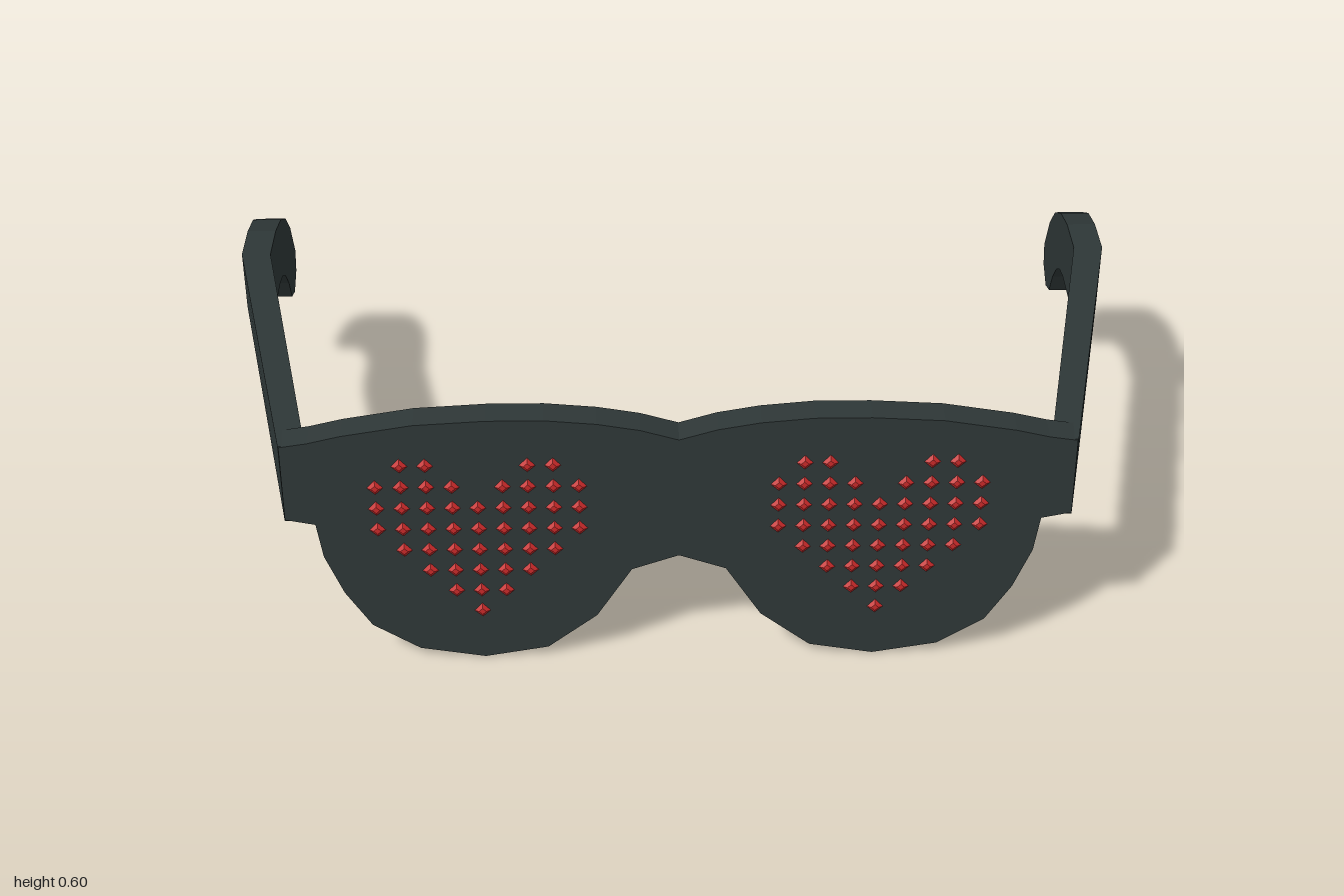
import * as THREE from 'three';
import { mergeGeometries } from 'three/addons/utils/BufferGeometryUtils.js';

// Front plane leans back slightly with height
const frontZ = (y) => 0.597 - 0.046 * y;
const THICK = 0.064;

// Half outline of the front plate (x >= 0): top centre, outwards, back along the lens
const HALF = [
  [0, 0.555], [0.08, 0.579], [0.17, 0.595], [0.28, 0.605], [0.40, 0.605], [0.55, 0.596],
  [0.70, 0.571], [0.77, 0.554], [0.828, 0.545], [0.828, 0.365], [0.765, 0.352], [0.753, 0.27],
  [0.715, 0.176], [0.66, 0.09], [0.56, 0.027], [0.42, 0.003], [0.283, 0.027],
  [0.176, 0.11], [0.10, 0.23], [0, 0.265],
];

function plateGeometry() {
  const mirrored = HALF.slice(1, -1).reverse().map(([x, y]) => [-x, y]);
  const shape = new THREE.Shape([...HALF, ...mirrored].map(([x, y]) => new THREE.Vector2(x, y)));
  const geo = new THREE.ExtrudeGeometry(shape, { depth: THICK, bevelEnabled: false });
  const p = geo.attributes.position;
  for (let i = 0; i < p.count; i++) p.setZ(i, p.getZ(i) - THICK + frontZ(p.getY(i)));
  geo.computeVertexNormals();
  return geo;
}

// Temple stations: top z, top y, bottom z, bottom y
const STATIONS = [
  [0.569, 0.546, 0.577, 0.36], [-0.22, 0.535, -0.22, 0.391], [-0.33, 0.533, -0.32, 0.395],
  [-0.42, 0.511, -0.37, 0.385], [-0.495, 0.47, -0.41, 0.36], [-0.552, 0.41, -0.45, 0.315],
  [-0.6, 0.317, -0.48, 0.257], [-0.585, 0.268, -0.53, 0.24],
];

function templeGeometry(side) {
  // Arms splay outwards, then run straight back
  const x = (z, inner) => {
    const t = Math.min(1, Math.max(0, (0.572 - z) / 0.792));
    return side * (0.829 + 0.171 * t - (inner ? 0.056 + 0.01 * t : 0));
  };
  const rings = STATIONS.map(([tz, ty, bz, by]) => [
    [x(tz, false), ty, tz], [x(tz, true), ty, tz],
    [x(bz, true), by, bz], [x(bz, false), by, bz],
  ]);
  const pos = [];
  const quad = (a, b, c, d) => {
    const q = side > 0 ? [a, b, c, a, c, d] : [a, c, b, a, d, c];
    q.forEach((v) => pos.push(...v));
  };
  for (let i = 0; i < rings.length - 1; i++) {
    const r = rings[i], n = rings[i + 1];
    for (let k = 0; k < 4; k++) {
      const m = (k + 1) % 4;
      quad(r[k], n[k], n[m], r[m]);
    }
  }
  const end = rings[rings.length - 1];
  quad(...rings[0]);
  quad(end[3], end[2], end[1], end[0]);
  const geo = new THREE.BufferGeometry();
  geo.setAttribute('position', new THREE.Float32BufferAttribute(pos, 3));
  geo.computeVertexNormals();
  return geo;
}

// Heart made of diamond-shaped lights; each row lists column offsets from the centre
const HEART_ROWS = [
  [2, 3], [1, 2, 3, 4], [0, 1, 2, 3, 4], [0, 1, 2, 3, 4], [0, 1, 2, 3], [0, 1, 2], [0, 1], [0],
];

function heartGeometry(cx) {
  const dots = [];
  HEART_ROWS.forEach((row, r) => {
    const y = 0.496 - r * 0.0528;
    const columns = [...row, ...row.filter((c) => c > 0).map((c) => -c)];
    columns.forEach((c) => {
      const dot = new THREE.CylinderGeometry(0.008, 0.019, 0.006, 4);
      dot.rotateX(Math.PI / 2);
      dot.translate(cx + c * 0.0532, y, frontZ(y) + 0.002);
      dots.push(dot);
    });
  });
  return mergeGeometries(dots);
}

export function createModel() {
  const group = new THREE.Group();
  const frameMat = new THREE.MeshStandardMaterial({ color: 0x2e3737, flatShading: true });
  frameMat.name = 'charcoal';
  const lightMat = new THREE.MeshStandardMaterial({ color: 0xcc2a2a, flatShading: true });
  lightMat.name = 'red';

  const add = (name, geo, mat) => {
    const mesh = new THREE.Mesh(geo, mat);
    mesh.name = name;
    group.add(mesh);
  };

  add('frontPlate', plateGeometry(), frameMat);
  for (const [label, side] of [['left', 1], ['right', -1]]) {
    add(label + 'Temple', templeGeometry(side), frameMat);
    add(label + 'HeartLights', heartGeometry(side * 0.422), lightMat);
  }
  return group;
}
